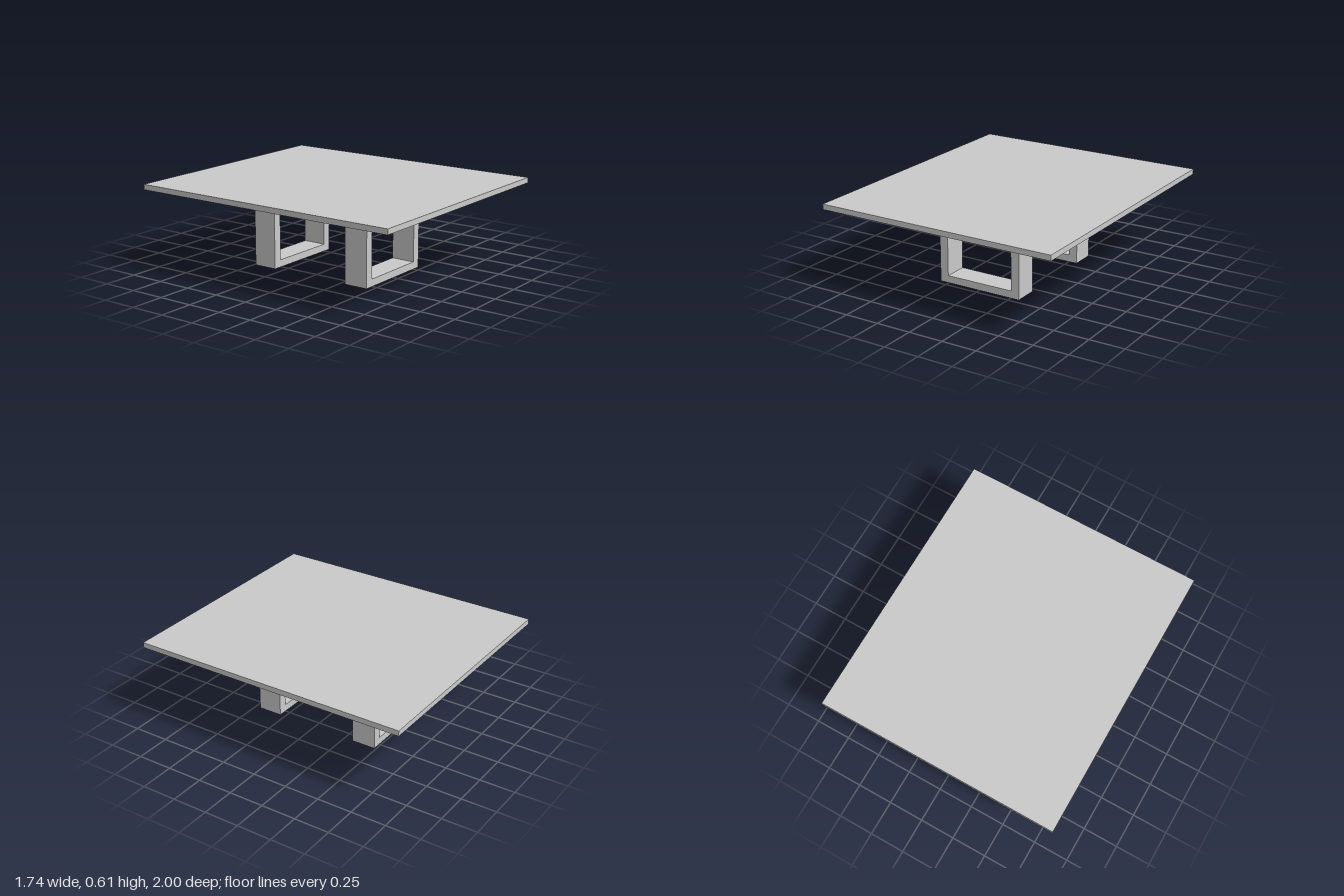
import * as THREE from 'three';

const material = new THREE.MeshStandardMaterial({ color: 0xcccccc, flatShading: true });

// U-shaped frame: outline in x/y, extruded along z and centred on zCentre
function makeLegFrame(name, zCentre) {
  const left = 0.312, right = -0.316, wall = 0.062;
  const height = 0.563, base = 0.052, depth = 0.174;
  const outline = new THREE.Shape([
    [right, 0], [left, 0], [left, height], [left - wall, height],
    [left - wall, base], [right + wall, base], [right + wall, height], [right, height],
  ].map(([x, y]) => new THREE.Vector2(x, y)));
  const geometry = new THREE.ExtrudeGeometry(outline, { depth, bevelEnabled: false });
  const frame = new THREE.Mesh(geometry, material);
  frame.name = name;
  frame.position.z = zCentre - depth / 2;
  return frame;
}

export function createModel() {
  const table = new THREE.Group();
  table.name = 'table';

  // Thin slab, floating slightly above the leg frames
  const top = new THREE.Mesh(new THREE.BoxGeometry(1.74, 0.038, 2), material);
  top.name = 'tableTop';
  top.position.y = 0.593;
  table.add(top);

  table.add(makeLegFrame('frontLegFrame', 0.375), makeLegFrame('backLegFrame', -0.4));
  return table;
}
